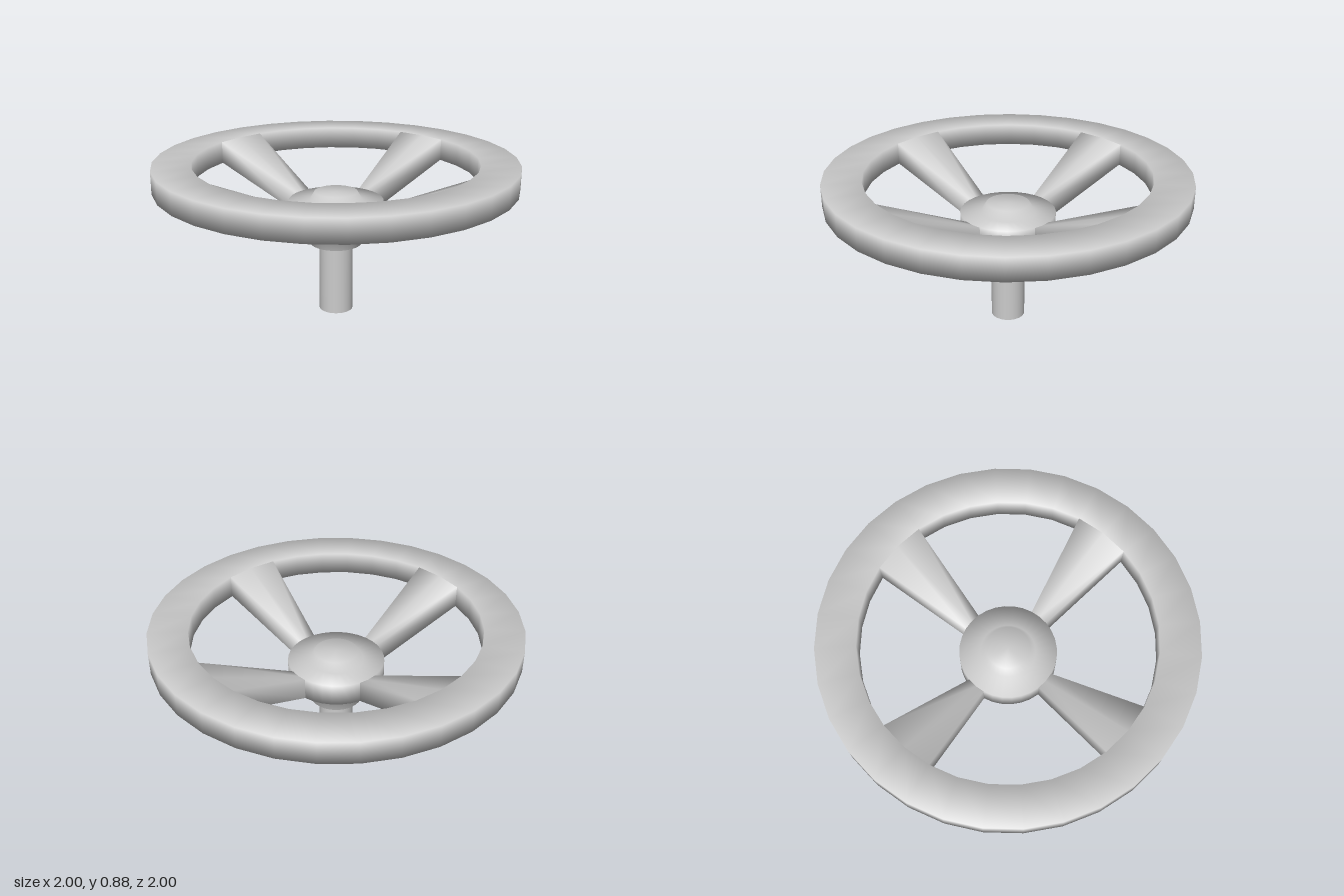
import * as THREE from 'three';
import { mergeVertices } from 'three/addons/utils/BufferGeometryUtils.js';

const SEGMENTS = 32;
const STEP = (Math.PI * 2) / SEGMENTS;
const HUB = { r: 0.265, bottom: 0.53, top: 0.65 };
const RIM = { r: 0.785, outer: 1, bottom: 0.755, top: 0.88 };

// Share vertices so the shading rolls softly over every edge
function smooth(geometry) {
  geometry.deleteAttribute('normal');
  geometry.deleteAttribute('uv');
  const merged = mergeVertices(geometry, 1e-4);
  merged.computeVertexNormals();
  return merged;
}

function turned(points) {
  return smooth(new THREE.LatheGeometry(points.map(([r, y]) => new THREE.Vector2(r, y)), SEGMENTS));
}

// Flared spoke along +z, bridging two facets of the hub to two facets of the rim
function spokeGeometry() {
  const positions = [];
  for (const { r, bottom, top } of [HUB, RIM]) {
    for (const [side, y] of [[-1, bottom], [0, bottom], [1, bottom], [1, top], [0, top], [-1, top]]) {
      positions.push(r * Math.sin(side * STEP), y, r * Math.cos(side * STEP));
    }
  }
  const index = [];
  for (let j = 0; j < 6; j++) {
    const k = (j + 1) % 6;
    index.push(j, k, k + 6, j, k + 6, j + 6);
  }
  const geometry = new THREE.BufferGeometry();
  geometry.setAttribute('position', new THREE.Float32BufferAttribute(positions, 3));
  geometry.setIndex(index);
  geometry.computeVertexNormals();
  return geometry;
}

export function createModel() {
  const model = new THREE.Group();
  model.name = 'handwheel';
  const material = new THREE.MeshStandardMaterial({ color: 0xcccccc });
  const openMaterial = new THREE.MeshStandardMaterial({ color: 0xcccccc, side: THREE.DoubleSide });

  const add = (name, geometry, mat = material) => {
    const mesh = new THREE.Mesh(geometry, mat);
    mesh.name = name;
    model.add(mesh);
    return mesh;
  };

  // Rim: a closed rectangular section turned round the axis
  add('rim', turned([
    [RIM.r, RIM.bottom], [RIM.outer, RIM.bottom], [RIM.outer, RIM.top],
    [RIM.r, RIM.top], [RIM.r, RIM.bottom],
  ]));

  // Hub: collar below, wide disc, low tapered boss on top
  add('hub', turned([
    [0.095, 0.4], [0.145, 0.4], [0.145, HUB.bottom], [HUB.r, HUB.bottom],
    [HUB.r, HUB.top], [0.15, HUB.top], [0.12, 0.7], [0, 0.7],
  ]));

  // Stem: open tube under the collar
  const stem = add('stem', new THREE.CylinderGeometry(0.095, 0.095, 0.4, SEGMENTS, 1, true), openMaterial);
  stem.position.y = 0.2;

  // Four spokes
  const spoke = spokeGeometry();
  for (let i = 0; i < 4; i++) {
    add(`spoke${i + 1}`, spoke).rotation.y = (i * Math.PI) / 2;
  }
  return model;
}
